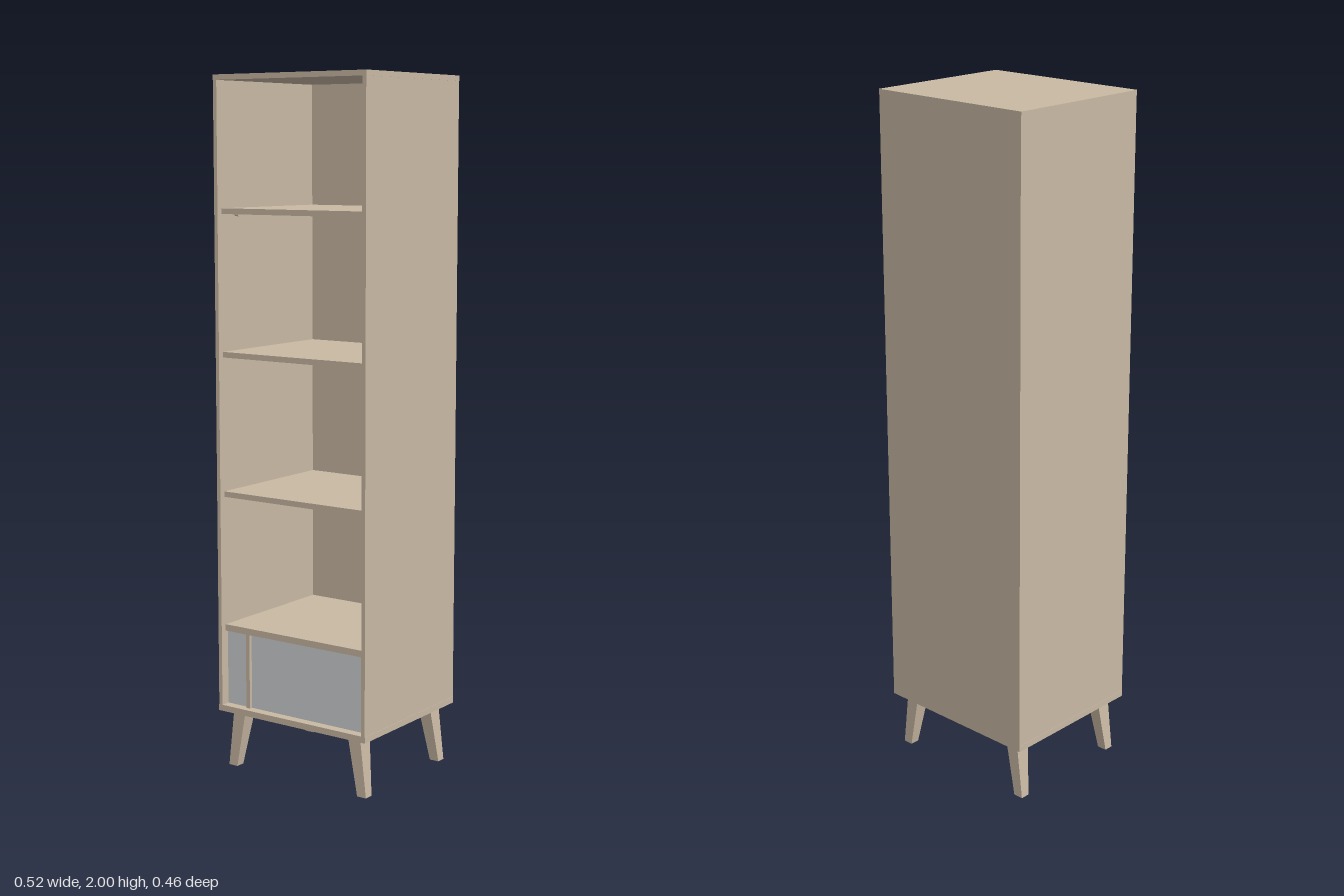
import * as THREE from 'three';

export function createModel() {
  const group = new THREE.Group();
  const wood = new THREE.MeshStandardMaterial({ color: 0xc9b9a4 });
  wood.name = 'light wood';
  const grey = new THREE.MeshStandardMaterial({ color: 0xd0d1d3 });
  grey.name = 'pale grey';

  const add = (name, geometry, material) => {
    const mesh = new THREE.Mesh(geometry, material);
    mesh.name = name;
    group.add(mesh);
    return mesh;
  };
  // Box given by its lower and upper limits on each axis
  const board = (name, [x0, x1], [y0, y1], [z0, z1], material = wood) =>
    add(name, new THREE.BoxGeometry(x1 - x0, y1 - y0, z1 - z0), material)
      .position.set((x0 + x1) / 2, (y0 + y1) / 2, (z0 + z1) / 2);

  // Carcass
  const inner = 0.247;
  board('topPanel', [-0.26, 0.26], [1.985, 2], [-0.23, 0.23]);
  board('bottomPanel', [-0.26, 0.26], [0.17, 0.188], [-0.23, 0.23]);
  board('leftSide', [inner, 0.259], [0.188, 1.985], [-0.23, 0.23]);
  board('rightSide', [-0.259, -inner], [0.188, 1.985], [-0.23, 0.23]);
  board('backPanel', [-inner, inner], [0.188, 1.985], [-0.23, -0.218]);

  // Cabinet top, then loose shelves resting on small pins
  board('cabinetTop', [-inner, inner], [0.408, 0.427], [-0.218, 0.212]);
  for (const y of [0.805, 1.209, 1.615]) {
    board('shelf', [-inner, inner], [y, y + 0.016], [-0.218, 0.212]);
    for (const x of [-0.241, 0.241]) for (const z of [-0.15, 0.15]) {
      const pin = add('shelfPin', new THREE.CylinderGeometry(0.004, 0.004, 0.012, 12), wood);
      pin.rotation.z = Math.PI / 2;
      pin.position.set(x, y - 0.004, z);
    }
  }

  // Sliding door panels and the upright strip between them
  board('narrowDoor', [-inner, -0.172], [0.188, 0.408], [0.19, 0.202], grey);
  board('wideDoor', [-0.159, inner], [0.188, 0.408], [0.19, 0.202], grey);
  board('doorStrip', [-0.172, -0.159], [0.188, 0.408], [0.19, 0.212]);

  // Tapered legs splayed sideways; each row is x0, x1, z0, z1
  const foot = [0.215, 0.245, 0.175, 0.203];
  const head = [0.183, 0.225, 0.156, 0.203];
  for (const sx of [-1, 1]) for (const sz of [-1, 1]) {
    const geometry = new THREE.BoxGeometry(1, 1, 1);
    const p = geometry.attributes.position;
    for (let i = 0; i < p.count; i++) {
      const [x0, x1, z0, z1] = p.getY(i) > 0 ? head : foot;
      const x = p.getX(i) * sx > 0 ? x1 : x0;
      const z = p.getZ(i) * sz > 0 ? z1 : z0;
      p.setXYZ(i, sx * x, p.getY(i) > 0 ? 0.17 : 0, sz * z);
    }
    geometry.computeVertexNormals();
    add((sz > 0 ? 'front' : 'back') + (sx > 0 ? 'Left' : 'Right') + 'Leg', geometry, wood);
  }
  return group;
}
